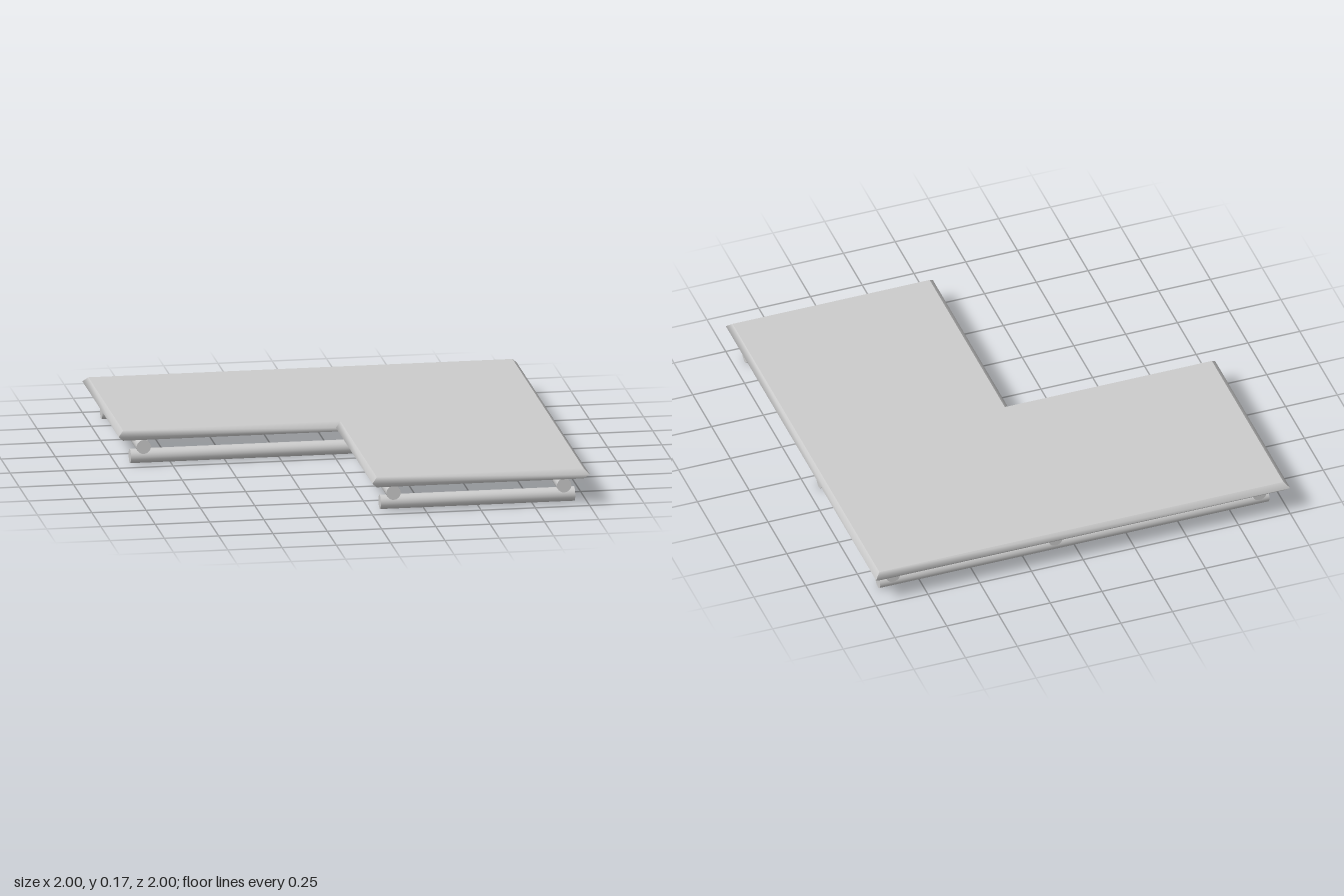
import * as THREE from 'three';

const material = new THREE.MeshStandardMaterial({ color: 0xcccccc });

// L-shaped outline: x, z of the outer ridge, then the inward direction at each corner
const outline = [
  [-1, -1, 1, 1], [1, -1, -1, 1], [1, 1, -1, -1],
  [0, 1, 1, -1], [0, 0, 1, -1], [-1, 0, 1, -1],
];
const BEVEL = 0.024, TOP = 0.171, MIDDLE = 0.147, BOTTOM = 0.123;
const inset = outline.map(([x, z, dx, dz]) => [x + dx * BEVEL, z + dz * BEVEL]);

function add(group, name, geometry) {
  const mesh = new THREE.Mesh(geometry, material);
  mesh.name = name;
  group.add(mesh);
  return mesh;
}

// Flat cap of the slab, facing up (side 1) or down (side -1)
function capGeometry(side, y) {
  const shape = new THREE.Shape(inset.map(([x, z]) => new THREE.Vector2(x, -side * z)));
  return new THREE.ShapeGeometry(shape).rotateX(-side * Math.PI / 2).translate(0, y, 0);
}

// Pointed edge: one strip per side, soft over the ridge and sharp at the corners
function edgeGeometry() {
  const positions = [], indices = [];
  outline.forEach((_, i) => {
    const base = i * 6;
    for (const k of [i, (i + 1) % outline.length]) {
      const [x, z] = outline[k], [ix, iz] = inset[k];
      positions.push(ix, TOP, iz, x, MIDDLE, z, ix, BOTTOM, iz);
    }
    for (const r of [base, base + 1]) indices.push(r, r + 3, r + 1, r + 3, r + 4, r + 1);
  });
  const geometry = new THREE.BufferGeometry();
  geometry.setAttribute('position', new THREE.Float32BufferAttribute(positions, 3));
  geometry.setIndex(indices);
  geometry.computeVertexNormals();
  return geometry;
}

// Round bar running along x or z between two end positions
function addBar(group, name, axis, from, to, y, across) {
  const bar = add(group, name, new THREE.CylinderGeometry(0.033, 0.033, to - from, 20));
  const middle = (from + to) / 2;
  if (axis === 'x') {
    bar.rotation.z = -Math.PI / 2;
    bar.position.set(middle, y, across);
  } else {
    bar.rotation.x = Math.PI / 2;
    bar.position.set(across, y, middle);
  }
}

export function createModel() {
  const model = new THREE.Group();
  model.name = 'platform';

  // Deck slab
  const deck = new THREE.Group();
  deck.name = 'deck';
  add(deck, 'deckTop', capGeometry(1, TOP));
  add(deck, 'deckUnderside', capGeometry(-1, BOTTOM));
  add(deck, 'deckEdge', edgeGeometry());
  model.add(deck);

  // Upper bars, front to back
  const upper = [['rightBeam', -0.03, -0.88], ['middleBeam', 0.955, 0.105], ['leftBeam', 0.955, 0.89]];
  for (const [name, end, x] of upper) addBar(model, name, 'z', -0.925, end, 0.088, x);

  // Lower bars, side to side
  const lower = [['backRunner', -0.935, -0.87], ['middleRunner', -0.935, -0.085], ['frontRunner', 0.05, 0.9]];
  for (const [name, start, z] of lower) addBar(model, name, 'x', start, 0.945, 0.034, z);

  return model;
}
